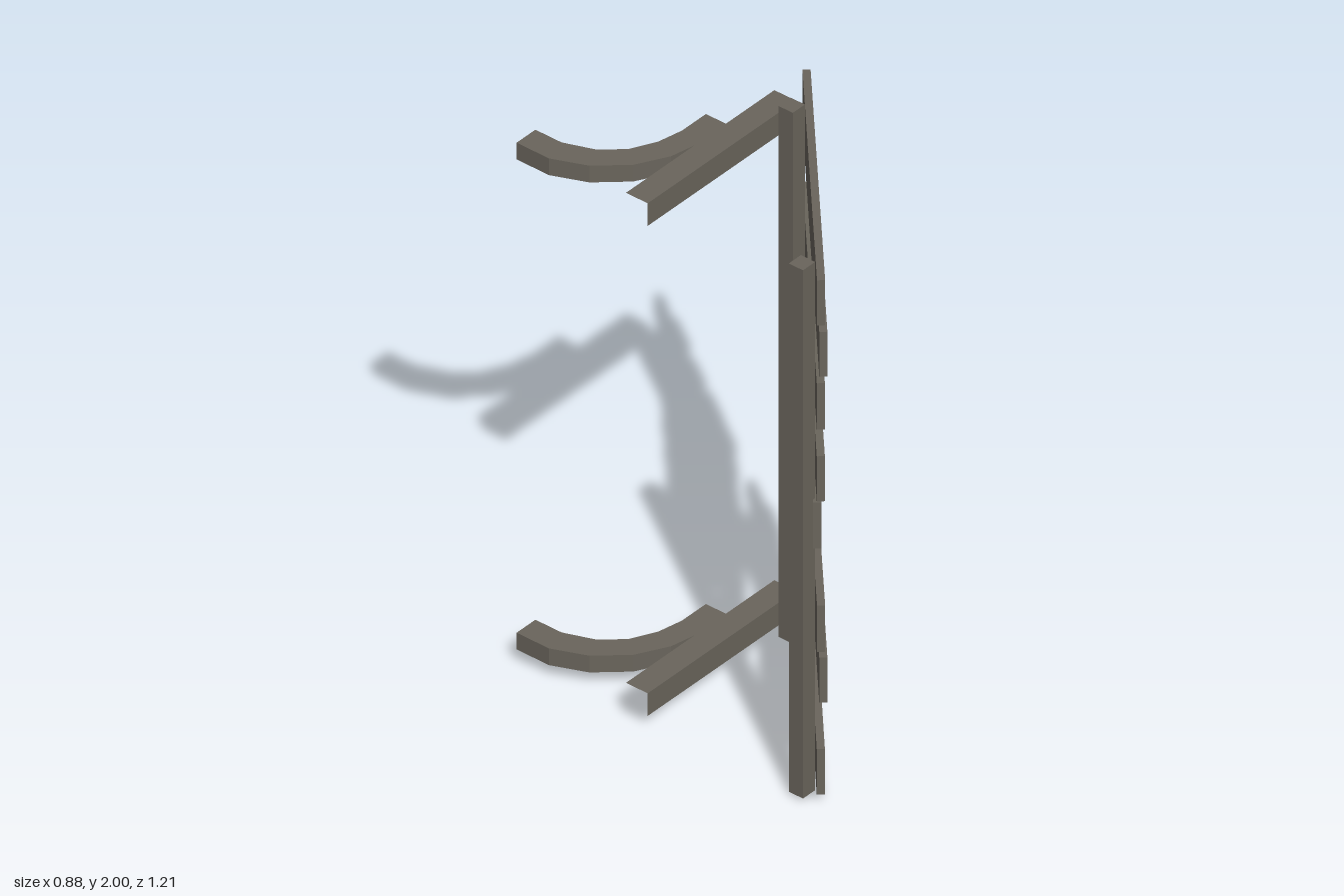
import * as THREE from 'three';

const wood = new THREE.MeshStandardMaterial({ color: 0x6a655c });
wood.name = 'weatheredWood';

function add(parent, name, geometry, x, y, z) {
  const mesh = new THREE.Mesh(geometry, wood);
  mesh.name = name;
  mesh.position.set(x, y, z);
  parent.add(mesh);
  return mesh;
}

// Board whose two ends have their own bottom and top heights
function plankGeometry([leftLow, leftHigh, rightLow, rightHigh]) {
  const geo = new THREE.BoxGeometry(1.118, 1, 0.025);
  const p = geo.attributes.position;
  for (let i = 0; i < p.count; i++) {
    const high = p.getY(i) > 0;
    if (p.getX(i) < 0) p.setY(i, high ? leftHigh : leftLow);
    else p.setY(i, high ? rightHigh : rightLow);
  }
  geo.computeVertexNormals();
  return geo;
}

// Horizontal beam, hollow-ended on the -x side
function beamGeometry() {
  const geo = new THREE.BoxGeometry(0.71, 0.085, 0.087);
  const index = Array.from(geo.index.array);
  index.splice(6, 6);
  geo.setIndex(index);
  geo.clearGroups();
  return geo;
}

// Faceted curved brace, drawn in plan (x, z) and extruded upwards
function braceGeometry() {
  const plan = [
    [-0.44, -0.61], [-0.44, -0.48], [-0.39, -0.36], [-0.3, -0.26], [-0.19, -0.2], [-0.065, -0.175], [0.05, -0.175],
    [0.05, -0.262], [-0.065, -0.262], [-0.155, -0.28], [-0.245, -0.325], [-0.31, -0.397], [-0.35, -0.505], [-0.35, -0.61],
  ];
  const shape = new THREE.Shape(plan.map(([x, z]) => new THREE.Vector2(x, -z)));
  const geo = new THREE.ExtrudeGeometry(shape, { depth: 0.063, bevelEnabled: false });
  return geo.rotateX(-Math.PI / 2);
}

export function createModel() {
  const model = new THREE.Group();
  model.name = 'plankGate';

  // Two upright posts
  add(model, 'frontPost', new THREE.BoxGeometry(0.058, 1.99, 0.057), -0.409, 1.005, 0.507);
  add(model, 'backPost', new THREE.BoxGeometry(0.058, 2, 0.057), 0.211, 1, -0.053);

  // Uneven planks: centre x, centre z, then end heights
  const planks = [
    [-0.007, 0.218, [1.81, 1.98, 1.81, 1.98]],
    [0.012, 0.211, [1.603, 1.772, 1.635, 1.793]],
    [0, 0.211, [1.41, 1.585, 1.38, 1.552]],
    [0, 0.211, [1.14, 1.31, 1.143, 1.318]],
    [0.02, 0.18, [0.937, 1.11, 0.95, 1.122]],
    [-0.007, 0.218, [0.58, 0.755, 0.58, 0.755]],
    [0.012, 0.211, [0.375, 0.545, 0.408, 0.567]],
    [0, 0.211, [0.035, 0.207, 0.085, 0.257]],
  ];
  for (const [x, z, heights] of planks) {
    add(model, 'plank', plankGeometry(heights), x, 0, z).rotation.y = 0.737;
  }

  // Upper and lower brackets
  for (const y of [0.082, 1.928]) {
    const bracket = new THREE.Group();
    bracket.name = y < 1 ? 'lowerBracket' : 'upperBracket';
    bracket.position.y = y;
    add(bracket, 'beam', beamGeometry(), -0.085, 0, -0.1285);
    add(bracket, 'curvedBrace', braceGeometry(), 0, -0.0315, 0);
    model.add(bracket);
  }
  return model;
}
